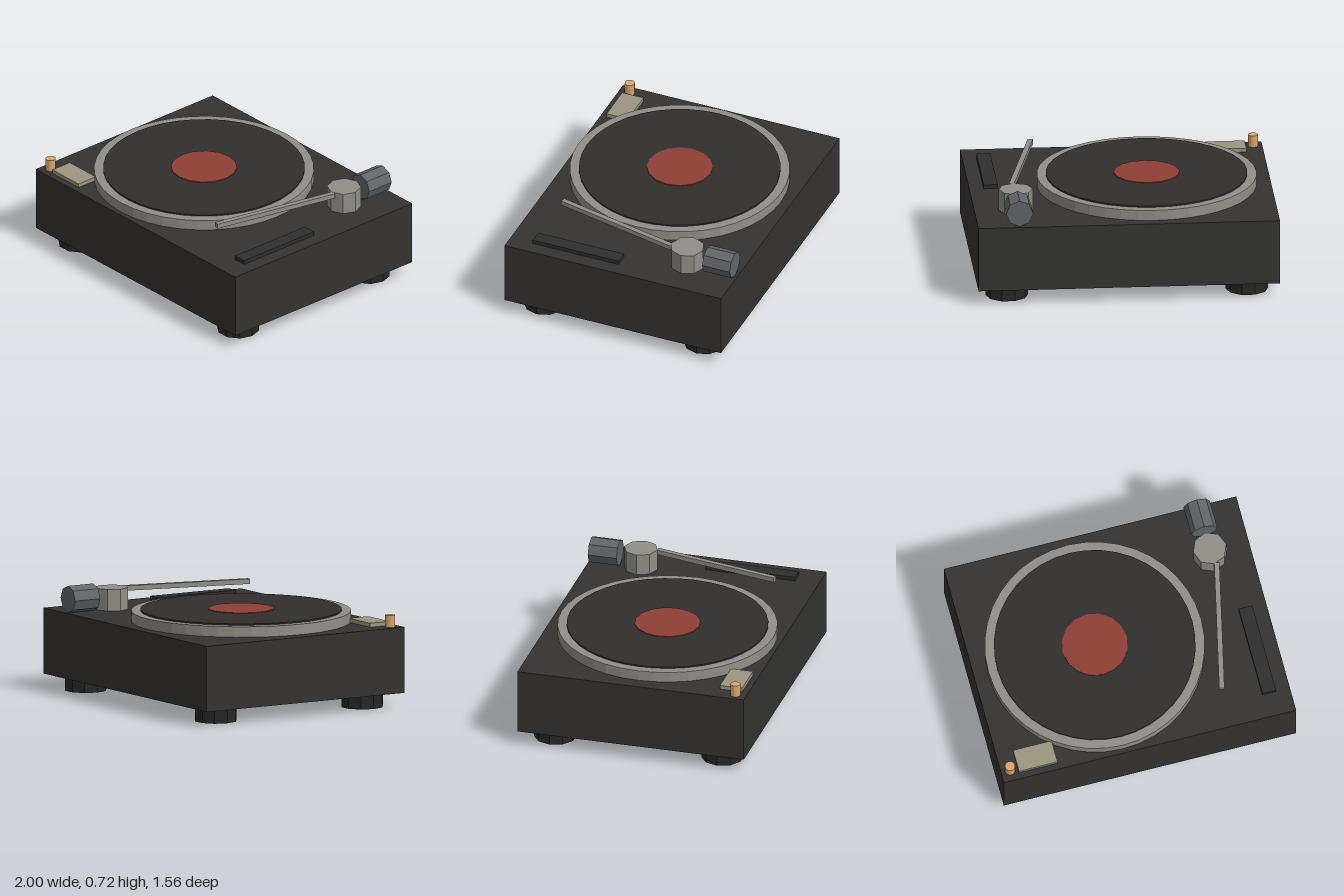
import * as THREE from 'three';

export function createModel() {
  const model = new THREE.Group();
  model.name = 'turntable';

  const add = (name, geometry, color, x, y, z) => {
    const material = new THREE.MeshStandardMaterial({ color, flatShading: true });
    const mesh = new THREE.Mesh(geometry, material);
    mesh.name = name;
    mesh.position.set(x, y, z);
    model.add(mesh);
    return mesh;
  };
  // Box and upright disc given by their bottom and top heights
  const box = (name, color, w, d, x, z, y0, y1) =>
    add(name, new THREE.BoxGeometry(w, y1 - y0, d), color, x, (y0 + y1) / 2, z);
  const disc = (name, color, r, sides, x, z, y0, y1) =>
    add(name, new THREE.CylinderGeometry(r, r, y1 - y0, sides), color, x, (y0 + y1) / 2, z);

  const DECK = 0.54;

  // Body and four ten-sided feet
  box('plinth', 0x343331, 2, 1.556, 0, 0, 0.1, DECK);
  for (const sx of [-1, 1]) {
    for (const sz of [-1, 1]) {
      const foot = disc('foot', 0x272726, 0.141, 10, sx * 0.796, sz * 0.575, 0, 0.1);
      foot.rotation.y = Math.PI / 2;
    }
  }

  // Platter, record and label share one axis
  const cx = -0.178, cz = 0.02;
  disc('platter', 0x918f88, 0.728, 40, cx, cz, DECK, 0.61);
  disc('record', 0x302f2e, 0.667, 40, cx, cz, 0.61, 0.62);
  disc('recordLabel', 0x8f3f36, 0.219, 16, cx, cz, 0.62, 0.625);

  // Tonearm with pivot and counterweight
  disc('tonearmPivot', 0x918f88, 0.113, 8, 0.725, -0.42, DECK, 0.684);
  const arm = box('tonearm', 0x918f88, 0.035, 0.884, 0.648, 0.119, 0.65, 0.683);
  arm.rotation.y = -0.22;
  const weight = add('counterweight', new THREE.CylinderGeometry(0.09, 0.09, 0.197, 8), 0x626668, 0.725, 0.63, -0.662);
  weight.rotation.x = Math.PI / 2;

  // Controls
  box('pitchSlider', 0x302f2f, 0.093, 0.616, 0.858, 0.308, DECK, 0.567);
  box('startButton', 0x9b9681, 0.263, 0.153, -0.753, 0.658, DECK, 0.567);
  disc('powerKnob', 0xdda66a, 0.034, 12, -0.938, 0.703, DECK, 0.62);

  return model;
}
